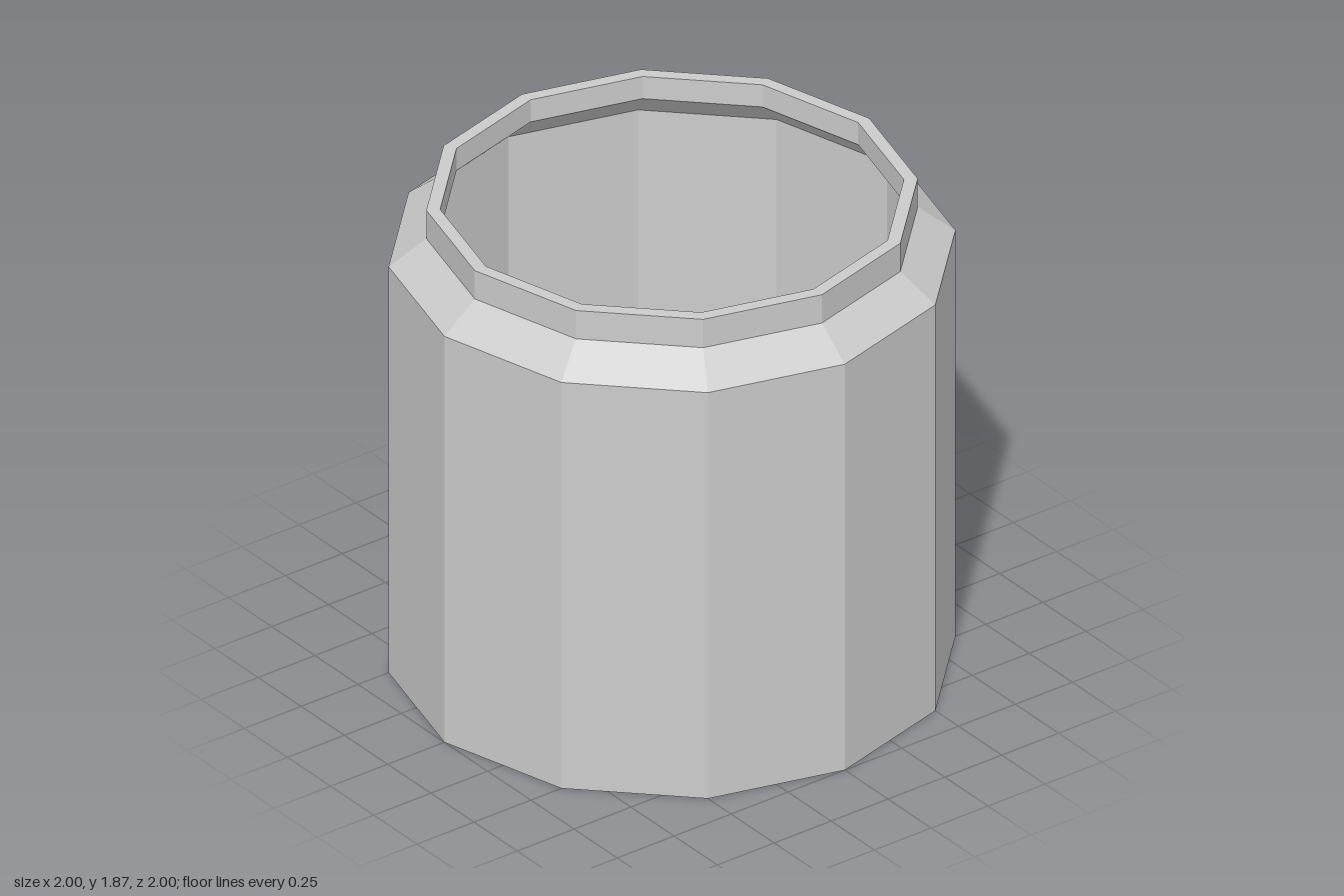
import * as THREE from 'three';

const SIDES = 12;

// Revolves a [radius, height] profile into a faceted shell
function facetedShell(name, profile) {
  const points = profile.map(([r, y]) => new THREE.Vector2(r, y));
  const material = new THREE.MeshStandardMaterial({ color: 0xcccccc, flatShading: true });
  const mesh = new THREE.Mesh(new THREE.LatheGeometry(points, SIDES), material);
  mesh.name = name;
  return mesh;
}

export function createModel() {
  const group = new THREE.Group();
  group.name = 'openJar';

  // Outside: base, wall, sloped shoulder, neck and flat rim
  group.add(facetedShell('outerBody', [
    [0, 0], [1, 0], [1, 1.65], [0.867, 1.755], [0.867, 1.87], [0.818, 1.87],
  ]));

  // Inside: neck, underside of the shoulder, wall and floor
  group.add(facetedShell('innerLining', [
    [0.818, 1.87], [0.818, 1.78], [0.945, 1.66], [0.945, 0.05], [0, 0.05],
  ]));

  return group;
}
